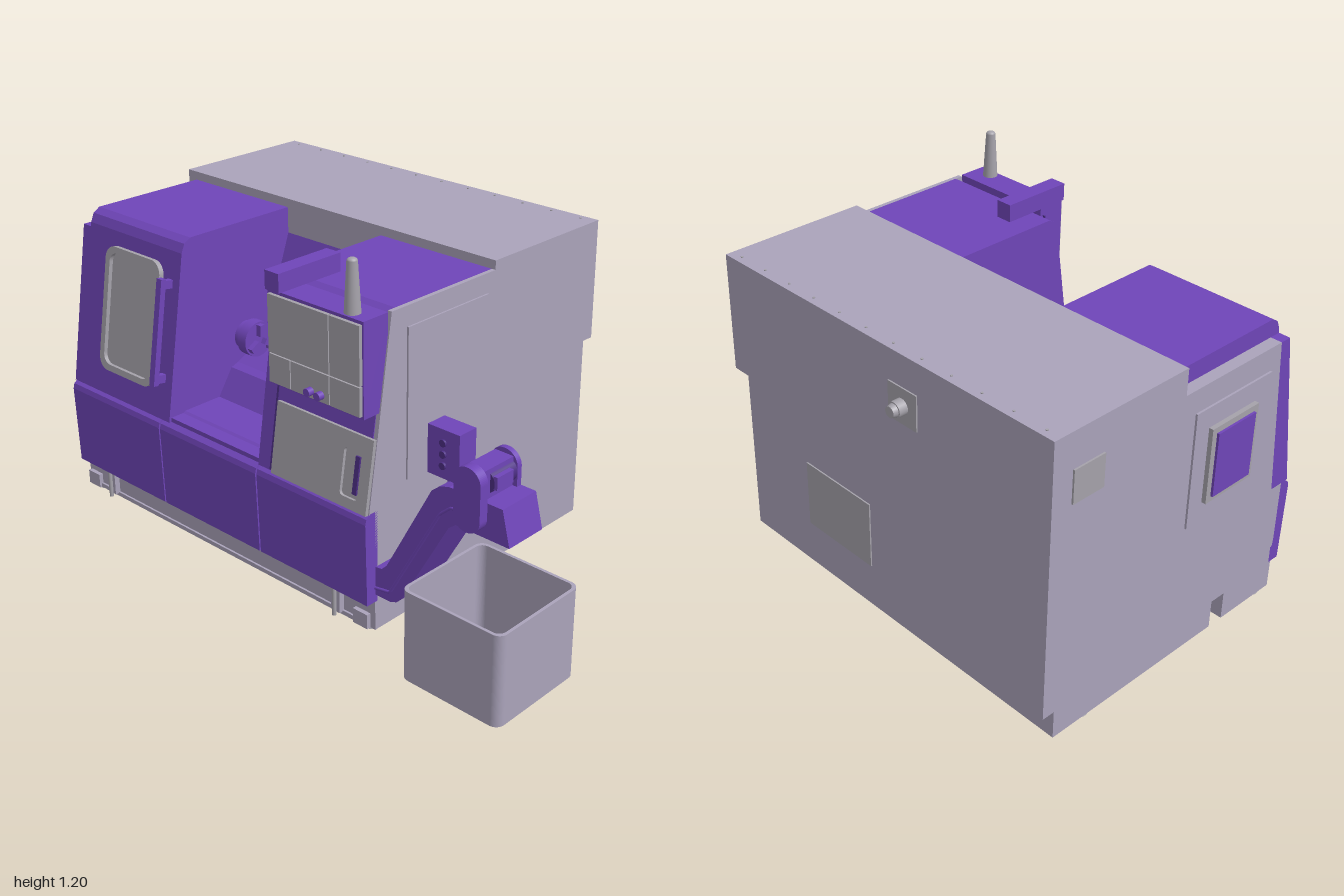
import * as THREE from 'three';

const mat = (color) => new THREE.MeshStandardMaterial({ color, side: THREE.DoubleSide });

export function createModel() {
  const model = new THREE.Group();
  const grey = mat(0xaaa3ba), trim = mat(0xa5a2aa), purple = mat(0x6f45b8), dark = mat(0x4d2f85);

  const add = (name, geo, m, parent = model) => {
    const mesh = new THREE.Mesh(geo, m);
    mesh.name = name;
    parent.add(mesh);
    return mesh;
  };
  // Box given by its limits
  const box = (name, m, x0, x1, y0, y1, z0, z1, parent) => {
    const b = add(name, new THREE.BoxGeometry(x1 - x0, y1 - y0, z1 - z0), m, parent);
    b.position.set((x0 + x1) / 2, (y0 + y1) / 2, (z0 + z1) / 2);
    return b;
  };
  const shapeOf = (pts) => new THREE.Shape(pts.map((p) => new THREE.Vector2(p[0], p[1])));
  // Side profile of [z, y] points, swept from x0 to x1
  const sweepX = (name, m, pts, x0, x1) => {
    const g = new THREE.ExtrudeGeometry(shapeOf(pts), { depth: x1 - x0, bevelEnabled: false });
    g.rotateY(-Math.PI / 2).translate(x1, 0, 0);
    return add(name, g, m);
  };
  // Front profile of [x, y] points, swept from z0 to z1
  const sweepZ = (name, m, shape, z0, z1, parent) => {
    const g = new THREE.ExtrudeGeometry(shape, { depth: z1 - z0, bevelEnabled: false, curveSegments: 8 });
    return add(name, g.translate(0, 0, z0), m, parent);
  };
  // Cylinder between two radii along a chosen axis
  const cyl = (name, m, r0, r1, len, axis, x, y, z, parent, sides = 24) => {
    const g = new THREE.CylinderGeometry(r1, r0, len, sides);
    if (axis === 'x') g.rotateZ(-Math.PI / 2);
    if (axis === 'z') g.rotateX(Math.PI / 2);
    const c = add(name, g, m, parent);
    c.position.set(x, y, z);
    return c;
  };
  const roundRect = (w, h, r, S = THREE.Shape) => {
    const s = new S(), a = w / 2, b = h / 2;
    s.absarc(a - r, b - r, r, 0, Math.PI / 2);
    s.absarc(-a + r, b - r, r, Math.PI / 2, Math.PI);
    s.absarc(-a + r, -b + r, r, Math.PI, Math.PI * 1.5);
    s.absarc(a - r, -b + r, r, Math.PI * 1.5, Math.PI * 2);
    s.closePath();
    return s;
  };
  const frame = (w, h, r, t) => {
    const s = roundRect(w, h, r);
    s.holes.push(roundRect(w - 2 * t, h - 2 * t, r - t / 2, THREE.Path));
    return s;
  };
  // Group lying on the leaning front face at (x, y)
  const onFront = (name, x, y) => {
    const g = new THREE.Group();
    g.name = name;
    g.position.set(x, y, 0.53 - (y - 0.43) * 0.164);
    g.rotation.x = -Math.atan(0.164);
    model.add(g);
    return g;
  };

  // Base with a cross channel, and the main housing
  box('rearBase', grey, -0.97, 0.44, 0.02, 0.12, -0.51, 0.2);
  box('frontBase', grey, -0.97, 0.44, 0.02, 0.12, 0.26, 0.5);
  box('baseRail', grey, -0.92, 0.39, 0.02, 0.035, 0.5, 0.507);
  box('lowerBody', grey, -0.97, 0.44, 0.12, 0.43, -0.51, 0.5);
  box('rearHousing', grey, -0.97, 0.44, 0.43, 1.07, -0.51, -0.03);
  box('rearUpperCover', grey, -0.97, 0.44, 0.66, 1.07, -0.555, -0.51);
  box('rearLowerCover', grey, -0.97, -0.5, 0.12, 0.66, -0.555, -0.51);
  box('rearPlate', trim, -0.17, 0.14, 0.18, 0.42, -0.515, -0.51);
  for (let i = 0; i < 12; i++) cyl('roofBolt', trim, 0.004, 0.004, 0.004, 'y', -0.92 + i * 0.119, 1.071, -0.53, model, 8);

  // Rear cable connector
  box('connectorPlate', trim, -0.45, -0.33, 0.845, 0.965, -0.56, -0.555);
  cyl('connectorBody', trim, 0.026, 0.026, 0.03, 'z', -0.39, 0.905, -0.575);
  cyl('connectorCap', trim, 0.018, 0.022, 0.018, 'z', -0.39, 0.905, -0.597);

  // Side walls
  const wall = [[-0.03, 0.12], [0.5, 0.12], [0.525, 0.43], [0.43, 1.04], [-0.03, 1.04]];
  sweepX('rightWall', grey, wall, 0.425, 0.44);
  sweepX('rightWallPanel', grey,
    [[0.365, 0.975], [0.005, 0.975], [0.005, 0.925], [0.32, 0.485], [0.365, 0.485]], 0.44, 0.446);
  sweepX('leftWall', grey, [[-0.03, 0.43], [0.45, 0.43], [0.4, 0.98], [-0.03, 0.98]], -0.97, -0.93);
  sweepX('leftWallFront', purple, [[0.45, 0.43], [0.53, 0.43], [0.44, 0.98], [0.4, 0.98]], -0.97, -0.93);
  box('leftCover', grey, -0.977, -0.97, 0.5, 0.9, 0.02, 0.36);
  box('leftScreen', trim, -0.992, -0.977, 0.57, 0.83, 0.08, 0.29);
  box('leftScreenInset', purple, -1, -0.992, 0.59, 0.81, 0.1, 0.27);
  box('leftHatch', trim, -0.976, -0.97, 0.84, 0.95, -0.48, -0.36);

  // Upper compartments beside the work area
  const cabin = [[-0.03, 0.43], [0.53, 0.43], [0.445, 0.95], [0.438, 0.995], [0.425, 1.025], [0.4, 1.04], [-0.03, 1.04]];
  sweepX('doorCompartment', purple, cabin, -0.93, -0.46);
  sweepX('rightCompartment', purple, cabin, -0.03, 0.425);
  box('compartmentSeam', dark, 0.025, 0.033, -0.3, 0.3, 0, 0.004, onFront('seam', 0, 0.73));

  // Work area: sloping bed, guide rails, chuck, tailstock and turret
  sweepX('workBed', purple, [[-0.03, 0.43], [0.5, 0.43], [0.46, 0.45], [0.31, 0.45], [0.25, 0.54], [0.22, 0.55],
    [0.12, 0.6], [0.08, 0.65], [-0.03, 0.95]], -0.46, -0.03);
  box('guideRail', purple, -0.46, -0.03, 0.6, 0.62, 0.1, 0.15);
  box('sill', purple, -0.46, -0.03, 0.43, 0.445, 0.47, 0.52);
  cyl('spindleNose', purple, 0.05, 0.05, 0.03, 'x', -0.445, 0.64, 0.18);
  cyl('chuck', purple, 0.062, 0.062, 0.04, 'x', -0.415, 0.64, 0.18);
  for (let i = 0; i < 3; i++) {
    const a = i * Math.PI * 2 / 3 + Math.PI / 2;
    const jaw = box('chuckJaw', purple, -0.396, -0.375, -0.01, 0.01, -0.02, 0.02);
    jaw.position.y = 0.64 + Math.sin(a) * 0.035;
    jaw.position.z = 0.18 + Math.cos(a) * 0.035;
    jaw.rotation.x = -a;
  }
  cyl('tailstock', purple, 0.004, 0.025, 0.035, 'x', -0.048, 0.64, 0.18).rotation.set(0, 0, 0);
  cyl('turret', purple, 0.065, 0.065, 0.02, 'x', -0.04, 0.81, 0.1, model, 12);
  for (let i = 0; i < 8; i++) {
    const a = i * Math.PI / 4;
    const tool = box('turretTool', dark, -0.065, -0.035, -0.012, 0.012, -0.014, 0.014);
    tool.position.y = 0.81 + Math.sin(a) * 0.065;
    tool.position.z = 0.1 + Math.cos(a) * 0.065;
    tool.rotation.x = -a;
  }

  // Lower front panels
  const apron = [[0.49, 0.12], [0.535, 0.12], [0.542, 0.4], [0.537, 0.418], [0.52, 0.43], [0.49, 0.43]];
  [[-0.97, -0.503], [-0.497, -0.033], [-0.027, 0.44]].forEach(([a, b]) => sweepX('lowerPanel', purple, apron, a, b));

  // Door window and handle
  const win = onFront('doorWindow', -0.68, 0.735);
  sweepZ('windowFrame', trim, frame(0.28, 0.43, 0.045, 0.022), 0, 0.018, win);
  sweepZ('windowGlass', trim, roundRect(0.24, 0.39, 0.03), 0, 0.004, win);
  const handle = onFront('doorHandle', -0.503, 0.73);
  box('handleBar', purple, -0.012, 0.012, -0.18, 0.18, 0.03, 0.05, handle);
  for (const y of [-0.16, 0.16]) box('handleMount', purple, -0.01, 0.01, y - 0.014, y + 0.014, 0, 0.035, handle);

  // Control panel, its hanging arm and the signal lamp
  box('panelBody', purple, 0.05, 0.435, 0.74, 1.04, 0.44, 0.54);
  const tiles = [[0.06, 0.148, 0.75, 0.842], [0.152, 0.308, 0.75, 0.842], [0.312, 0.43, 0.75, 0.842],
    [0.06, 0.308, 0.846, 1.03], [0.312, 0.43, 0.846, 1.03]];
  tiles.forEach(([a, b, c, d]) => box('panelFace', trim, a, b, c, d, 0.54, 0.552));
  for (const x of [0.235, 0.277]) cyl('panelKnob', purple, 0.013, 0.013, 0.02, 'z', x, 0.773, 0.562);
  box('panelArm', purple, 0.05, 0.108, 1.04, 1.1, 0.295, 0.55);
  cyl('signalLamp', trim, 0.025, 0.016, 0.155, 'y', 0.365, 1.118, 0.51);
  const lampTop = add('signalLampTop', new THREE.SphereGeometry(0.016, 20, 10), trim);
  lampTop.position.set(0.365, 1.195, 0.51);
  lampTop.scale.y = 0.6;

  // Grey service panel with a recessed pull
  const service = onFront('servicePanel', 0.24, 0.545);
  const plate = shapeOf([[-0.2, -0.118], [0.2, -0.118], [0.2, 0.118], [-0.2, 0.118]]);
  const slot = new THREE.Path(roundRect(0.07, 0.15, 0.012).getPoints(4).map((p) => p.add(new THREE.Vector2(0.125, -0.01))));
  plate.holes.push(slot);
  sweepZ('servicePlate', trim, plate, 0, 0.012, service);
  box('slotBack', trim, 0.09, 0.16, -0.085, 0.065, 0, 0.002, service);
  box('slotGrip', dark, 0.135, 0.152, -0.07, 0.05, 0.002, 0.009, service);

  // Levelling feet and front brackets
  for (const x of [-0.93, 0.39]) {
    for (const z of [-0.36, 0.46]) {
      cyl('footPad', trim, 0.03, 0.022, 0.015, 'y', x, 0.0075, z);
      cyl('footScrew', trim, 0.01, 0.01, 0.03, 'y', x, 0.02, z);
    }
    box('footBracket', grey, x - 0.03, x + 0.03, 0.02, 0.07, 0.5, 0.515);
  }
  for (const x of [-0.82, 0.29]) {
    box('frontBracket', grey, x - 0.018, x + 0.018, 0.03, 0.12, 0.5, 0.52);
    cyl('bracketRod', trim, 0.007, 0.007, 0.1, 'y', x, 0.07, 0.525);
  }
  box('channelBracket', grey, 0.4, 0.44, 0.02, 0.065, 0.2, 0.24);

  // Chip conveyor with drive head and control box
  const conveyor = shapeOf([[0.43, 0.145], [0.5, 0.145], [0.525, 0.155], [0.545, 0.175], [0.72, 0.485], [0.745, 0.505],
    [0.935, 0.505], [0.908, 0.615], [0.72, 0.615], [0.685, 0.605], [0.655, 0.58], [0.485, 0.265], [0.465, 0.245], [0.43, 0.24]]);
  sweepZ('conveyor', purple, conveyor, 0.352, 0.498);
  const edge = new THREE.CurvePath();
  const mid = [[0.44, 0.17], [0.5, 0.18], [0.69, 0.52], [0.73, 0.555], [0.78, 0.555]];
  for (let i = 0; i < 4; i++) {
    edge.add(new THREE.LineCurve3(new THREE.Vector3(...mid[i], 0.5), new THREE.Vector3(...mid[i + 1], 0.5)));
  }
  add('conveyorFlange', new THREE.TubeGeometry(edge, 40, 0.005, 6), purple);
  const drive = roundRect(0.095, 0.2, 0.046);
  sweepZ('driveCover', purple, drive, 0.498, 0.53).position.set(0.808, 0.62, 0);
  sweepZ('driveCoverRear', purple, drive, 0.352, 0.37).position.set(0.808, 0.62, 0);
  box('driveHousing', purple, 0.775, 0.84, 0.61, 0.705, 0.37, 0.498);
  cyl('driveMotor', dark, 0.036, 0.036, 0.1, 'z', 0.82, 0.66, 0.42);
  box('driveTerminal', purple, 0.85, 0.865, 0.645, 0.685, 0.4, 0.47);
  box('controlStand', purple, 0.68, 0.74, 0.6, 0.65, 0.42, 0.46);
  box('controlBox', purple, 0.64, 0.755, 0.635, 0.785, 0.43, 0.5);
  for (const y of [0.675, 0.71, 0.745]) cyl('controlButton', dark, 0.011, 0.011, 0.008, 'z', 0.698, y, 0.503, model, 16);

  // Open chip bin
  const bin = new THREE.Group();
  bin.name = 'chipBin';
  bin.position.set(0.818, 0, 0.425);
  bin.rotation.x = -Math.PI / 2;
  model.add(bin);
  sweepZ('binWall', grey, frame(0.364, 0.36, 0.03, 0.01), 0, 0.3, bin);
  sweepZ('binFloor', grey, roundRect(0.35, 0.346, 0.025), 0, 0.01, bin);

  return model;
}
